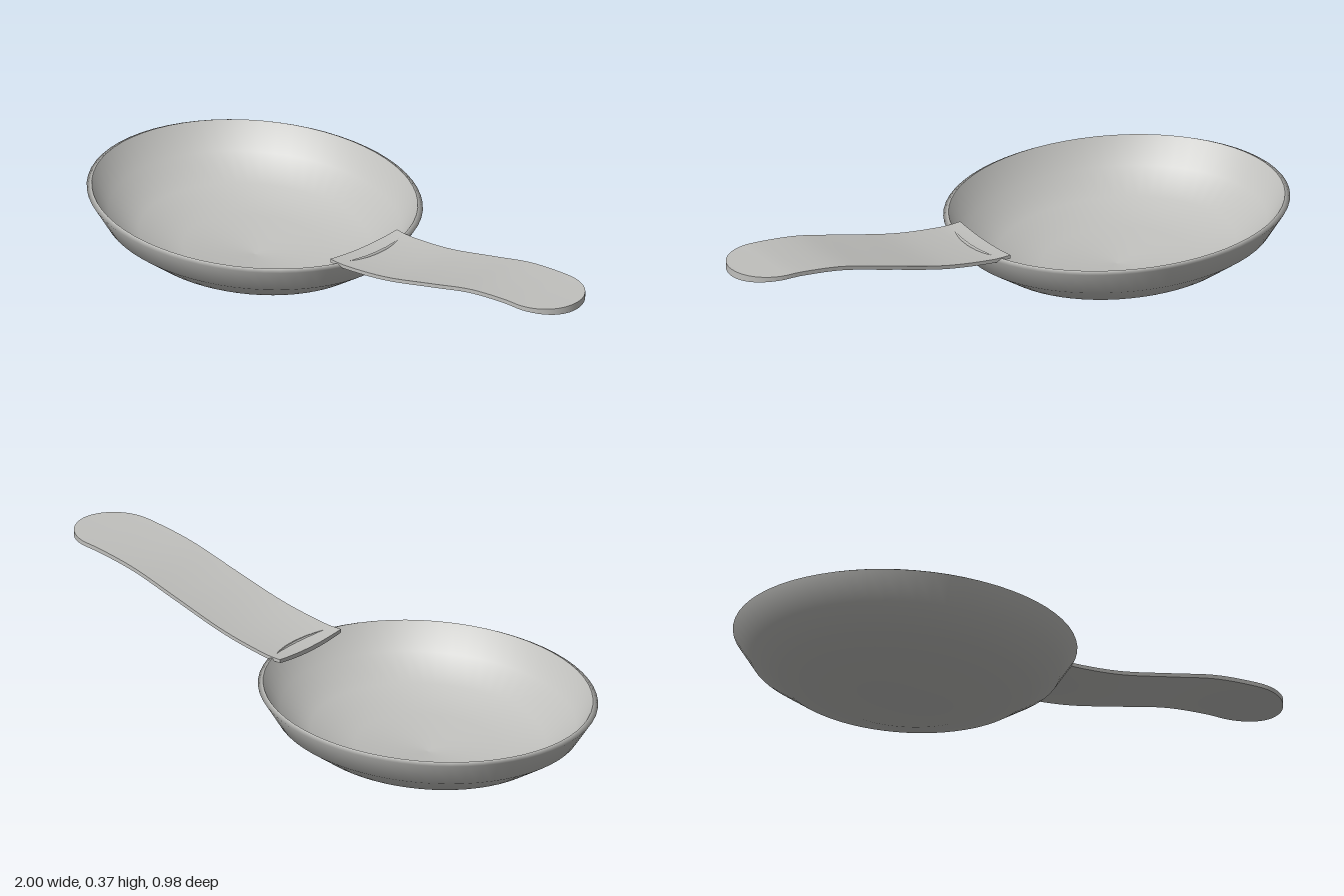
import * as THREE from 'three';

const metal = new THREE.MeshStandardMaterial({ color: 0xc0c0bd });
metal.name = 'light grey metal';

// Elliptical bowl surface turned from a profile of [radius fraction, height]
function bowlSurface(name, profile) {
  const geo = new THREE.LatheGeometry(profile.map(([r, y]) => new THREE.Vector2(r, y)), 64);
  geo.scale(0.565, 1, 0.488);
  const mesh = new THREE.Mesh(geo, metal);
  mesh.name = name;
  mesh.position.x = -0.435;
  return mesh;
}

// Grid whose vertices are placed by rule(u, v) -> [x, y, z]
function sheet(name, cols, rows, rule) {
  const geo = new THREE.PlaneGeometry(1, 1, cols, rows);
  const pos = geo.attributes.position;
  for (let i = 0; i < pos.count; i++) {
    pos.setXYZ(i, ...rule(pos.getX(i) + 0.5, pos.getY(i) + 0.5));
  }
  geo.computeVertexNormals();
  const mesh = new THREE.Mesh(geo, metal);
  mesh.name = name;
  return mesh;
}

// Side curve of the handle's upper edge
const spine = new THREE.SplineCurve([
  [0.055, 0.234], [0.13, 0.235], [0.3, 0.259], [0.5, 0.308],
  [0.67, 0.35], [0.82, 0.369], [0.9, 0.371], [1, 0.371],
].map(([x, y]) => new THREE.Vector2(x, y)));

function heightAt(x) {
  let lo = 0, hi = 1;
  for (let i = 0; i < 24; i++) {
    const mid = (lo + hi) / 2;
    if (spine.getPoint(mid).x < x) lo = mid; else hi = mid;
  }
  return spine.getPoint(lo).y;
}

// Station along the handle: straight taper, then a rounded tip
function station(u) {
  const body = Math.min(u / 0.7, 1);
  const a = Math.max((u - 0.7) / 0.3, 0) * Math.PI / 2;
  return {
    x: 0.055 + 0.805 * body + 0.14 * Math.sin(a),
    w: (0.145 - 0.016 * body) * Math.cos(a),
  };
}

// Handle skin: gently dished above, bowed below
function skin(u, t, lower) {
  const { x, w } = station(u);
  const z = w * t;
  const arch = 1 - (z / 0.145) ** 2;
  const y = lower ? -0.012 - 0.012 * arch : -0.009 * arch * (1 - u);
  return [x, heightAt(x) + y, z];
}

export function createModel() {
  const model = new THREE.Group();
  model.name = 'pan';

  const bowl = new THREE.Group();
  bowl.name = 'bowl';
  bowl.add(
    bowlSurface('bowlOutside', [[0, 0.002], [0.45, 0.024], [0.717, 0.068], [0.9, 0.136], [1, 0.222], [0.97, 0.23]]),
    bowlSurface('bowlInside', [[0.97, 0.23], [0.87, 0.146], [0.69, 0.081], [0.43, 0.039], [0, 0.019]]),
  );

  const handle = new THREE.Group();
  handle.name = 'handle';
  handle.add(
    sheet('handleTop', 40, 12, (u, v) => skin(u, 1 - 2 * v, false)),
    sheet('handleUnderside', 40, 12, (u, v) => skin(u, 2 * v - 1, true)),
    // Rim wall runs along one side, around the tip and back
    sheet('handleEdge', 80, 1, (p, v) => skin(1 - Math.abs(2 * p - 1), p < 0.5 ? 1 : -1, v < 0.5)),
    sheet('handleInnerEnd', 12, 1, (p, v) => skin(0, 2 * p - 1, v < 0.5)),
  );

  model.add(bowl, handle);
  return model;
}
